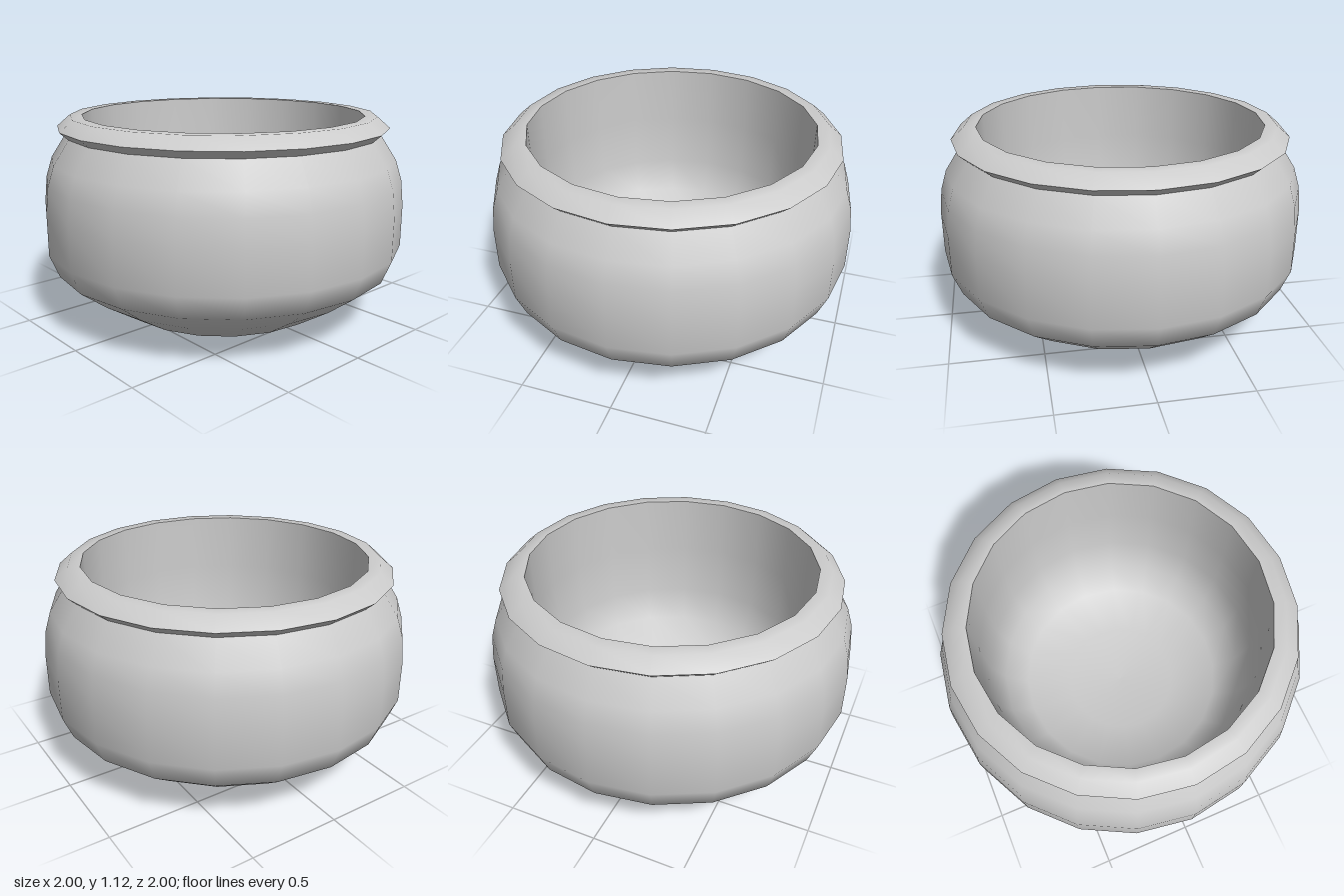
import * as THREE from 'three';

const SIDES = 20;
const material = new THREE.MeshStandardMaterial({ color: 0xcccccc });

// One smooth band of revolution; separate bands keep the edges between them sharp
function band(name, profile) {
  const points = profile.map(([r, y]) => new THREE.Vector2(r, y));
  const mesh = new THREE.Mesh(new THREE.LatheGeometry(points, SIDES), material);
  mesh.name = name;
  return mesh;
}

export function createModel() {
  const bowl = new THREE.Group();
  bowl.name = 'bowl';

  // Rounded outside, from the foot up to the groove under the rim
  bowl.add(band('outerBody', [
    [0, 0], [0.32, 0], [0.6, 0.045], [0.8, 0.175], [0.95, 0.29], [1, 0.415],
    [1, 0.64], [0.985, 0.78], [0.95, 0.89], [0.865, 1.02],
  ]));

  // Flared rim: underside, then bevel and flat lip
  bowl.add(band('rimUnderside', [[0.865, 1.02], [0.91, 1.06]]));
  bowl.add(band('rimTop', [[0.91, 1.06], [0.84, 1.12], [0.775, 1.12]]));

  // Hollow inside, steep wall rounding into the floor
  bowl.add(band('innerWall', [
    [0.775, 1.12], [0.772, 0.8], [0.76, 0.5], [0.7, 0.31],
    [0.58, 0.19], [0.32, 0.11], [0, 0.1],
  ]));

  return bowl;
}
